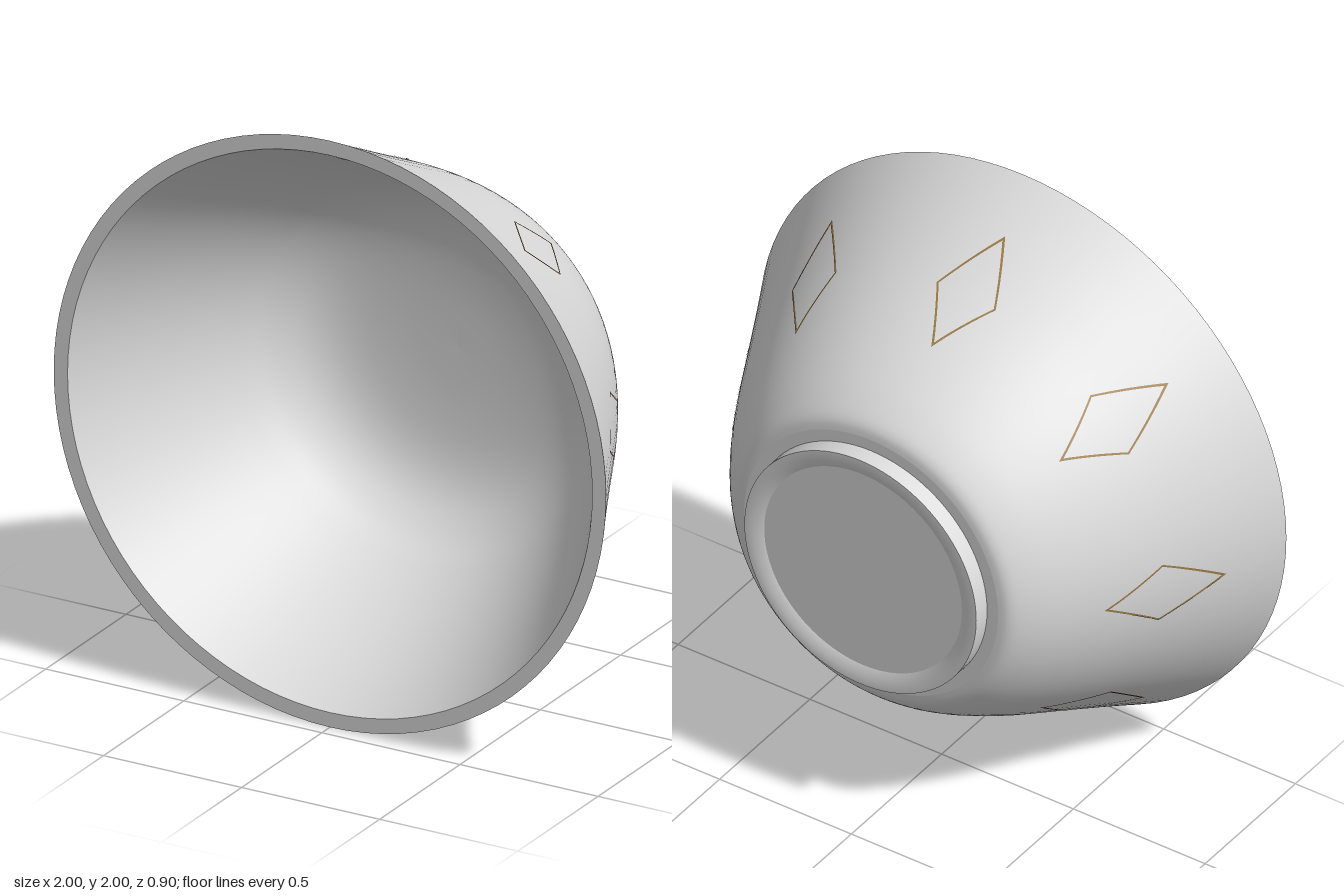
import * as THREE from 'three';

const SEGMENTS = 96;
const CENTRE_Y = 1;

// Bowl profiles as [radius, z]; the bowl lies on its side and opens towards +z
const OUTER = [[0.48, -0.39], [0.515, -0.382], [0.55, -0.355], [0.605, -0.29], [0.665, -0.2],
  [0.722, -0.1], [0.773, 0], [0.822, 0.1], [0.872, 0.2], [0.935, 0.325], [1, 0.45]];
const INNER = [[0.95, 0.45], [0.885, 0.325], [0.822, 0.2], [0.77, 0.1], [0.715, 0], [0.655, -0.1],
  [0.585, -0.2], [0.49, -0.28], [0.37, -0.325], [0.2, -0.345], [0, -0.35]];

const smooth = (points, n) =>
  new THREE.SplineCurve(points.map(([r, z]) => new THREE.Vector2(r, z))).getPoints(n)
    .map((p) => new THREE.Vector2(Math.max(p.x, 0), p.y));

const outerCurve = smooth(OUTER, 60);

// Outer radius of the bowl at a given z
function radiusAt(z) {
  const i = Math.max(1, outerCurve.findIndex((p) => p.y >= z));
  const a = outerCurve[i - 1], b = outerCurve[i];
  return THREE.MathUtils.mapLinear(z, a.y, b.y, a.x, b.x);
}

// Ribbon laid on the bowl between two [angle, z] corners of an outer and inner diamond
function addEdge(positions, o0, o1, i0, i1, lift) {
  const steps = 8;
  const at = (a, b, t) => {
    const angle = THREE.MathUtils.lerp(a[0], b[0], t);
    const z = THREE.MathUtils.lerp(a[1], b[1], t);
    const r = radiusAt(z) + lift;
    return [r * Math.sin(angle), r * Math.cos(angle), z];
  };
  for (let k = 0; k < steps; k++) {
    const t = k / steps, u = (k + 1) / steps;
    const a = at(o0, o1, t), b = at(o0, o1, u), c = at(i0, i1, u), d = at(i0, i1, t);
    positions.push(...a, ...b, ...c, ...a, ...c, ...d);
  }
}

// Thin diamond outline wrapped on the bowl around a given angle
function diamondGeometry(angle) {
  const corners = (halfAngle, halfLength) => [
    [angle, 0.065 + halfLength], [angle + halfAngle, 0.055],
    [angle, 0.065 - halfLength], [angle - halfAngle, 0.055],
  ];
  const outer = corners(0.14, 0.195), inner = corners(0.131, 0.18);
  const positions = [];
  for (let i = 0; i < 4; i++) {
    const j = (i + 1) % 4;
    addEdge(positions, outer[i], outer[j], inner[i], inner[j], 0.003);
  }
  const geometry = new THREE.BufferGeometry();
  geometry.setAttribute('position', new THREE.Float32BufferAttribute(positions, 3));
  geometry.computeVertexNormals();
  return geometry;
}

export function createModel() {
  const glaze = new THREE.MeshStandardMaterial({ color: 0xdcdcdc });
  glaze.name = 'pale grey glaze';
  const brown = new THREE.MeshStandardMaterial({ color: 0x9a7a48, side: THREE.DoubleSide });
  brown.name = 'brown line';

  const model = new THREE.Group();
  model.name = 'bowl';
  const add = (name, geometry, material) => {
    const mesh = new THREE.Mesh(geometry, material);
    mesh.name = name;
    mesh.position.y = CENTRE_Y;
    model.add(mesh);
  };
  // Turn a profile about the z axis
  const turn = (name, points) => {
    const profile = points.map((p) => (p.isVector2 ? p : new THREE.Vector2(...p)));
    add(name, new THREE.LatheGeometry(profile, SEGMENTS).rotateX(Math.PI / 2), glaze);
  };

  // Body
  turn('outerWall', [new THREE.Vector2(0.43, -0.39), ...outerCurve]);
  turn('rim', [[1, 0.45], [0.95, 0.45]]);
  turn('innerWall', smooth(INNER, 48));

  // Foot ring with a slightly recessed base
  turn('footSide', [[0.44, -0.45], [0.44, -0.39]]);
  turn('footBevel', [[0.375, -0.435], [0.405, -0.45], [0.44, -0.45]]);
  turn('footBase', [[0, -0.435], [0.375, -0.435]]);

  // Eight diamond outlines around the wall
  for (let i = 0; i < 8; i++) {
    const angle = THREE.MathUtils.degToRad(-4 + 45 * i);
    add('diamondOutline' + (i + 1), diamondGeometry(angle), brown);
  }
  return model;
}
